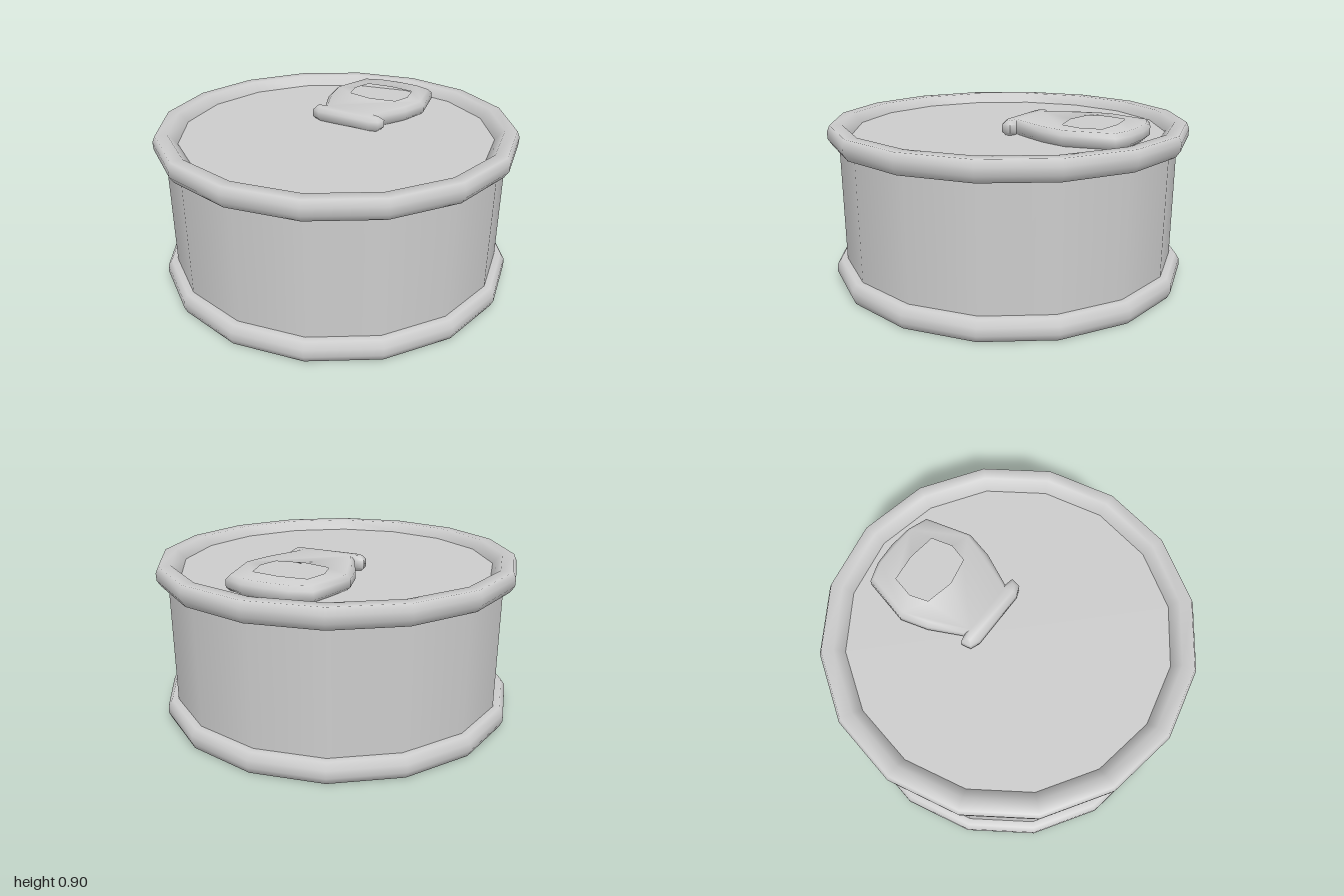
import * as THREE from 'three';
import { toCreasedNormals } from 'three/addons/utils/BufferGeometryUtils.js';

const SIDES = 16;
const material = new THREE.MeshStandardMaterial({ color: 0xcccccc });

function part(name, geometry, y = 0) {
  const mesh = new THREE.Mesh(geometry, material);
  mesh.name = name;
  mesh.position.y = y;
  return mesh;
}

// Rolled rim: a closed rounded ring, 0.11 high, seen in section as [radius, height]
function rimGeometry() {
  const section = [
    [0.88, 0.02], [0.91, 0], [0.975, 0], [0.998, 0.035], [1, 0.075], [0.985, 0.11],
    [0.92, 0.11], [0.87, 0.055], [0.88, 0.02],
  ];
  return new THREE.LatheGeometry(section.map(([r, y]) => new THREE.Vector2(r, y)), SIDES);
}

// Symmetric closed outline from its right half, given as [x, z]
function mirrored(half, Type) {
  const left = half.filter(([x]) => x > 0).reverse().map(([x, z]) => [-x, z]);
  return new Type([...half, ...left].map(([x, z]) => new THREE.Vector2(x, -z)));
}

// Pull tab: bevelled plate with a finger hole and a wider lip at the rivet end
function tabGeometry() {
  const shape = mirrored([
    [0, -0.8], [0.13, -0.79], [0.24, -0.75], [0.305, -0.49], [0.265, -0.34],
    [0.175, -0.155], [0.225, -0.145], [0.215, -0.09], [0.165, -0.07],
  ], THREE.Shape);
  shape.holes.push(mirrored([
    [0, -0.68], [0.17, -0.66], [0.205, -0.52], [0.17, -0.4], [0, -0.365],
  ], THREE.Path));
  const bevel = 0.022;
  const geometry = new THREE.ExtrudeGeometry(shape, {
    depth: 0.04, bevelThickness: bevel, bevelSize: bevel, bevelOffset: -bevel, bevelSegments: 1,
  });
  geometry.rotateX(-Math.PI / 2);
  geometry.translate(0, bevel, 0);
  return toCreasedNormals(geometry, 1.2);
}

export function createModel() {
  const can = new THREE.Group();
  can.name = 'can';

  // Side wall, running into both rims
  can.add(part('body', new THREE.CylinderGeometry(0.94, 0.94, 0.74, SIDES, 1, true), 0.445));

  // The lower rim is the upper one turned over
  can.add(part('topRim', rimGeometry(), 0.77));
  const bottomRim = part('bottomRim', rimGeometry(), 0.115);
  bottomRim.rotation.x = Math.PI;
  can.add(bottomRim);

  // Recessed end plates
  const plate = new THREE.CircleGeometry(0.88, SIDES);
  const lid = part('lid', plate, 0.825);
  lid.rotation.x = -Math.PI / 2;
  const base = part('base', plate, 0.055);
  base.rotation.x = Math.PI / 2;
  can.add(lid, base);

  can.add(part('pullTab', tabGeometry(), 0.822));
  return can;
}
